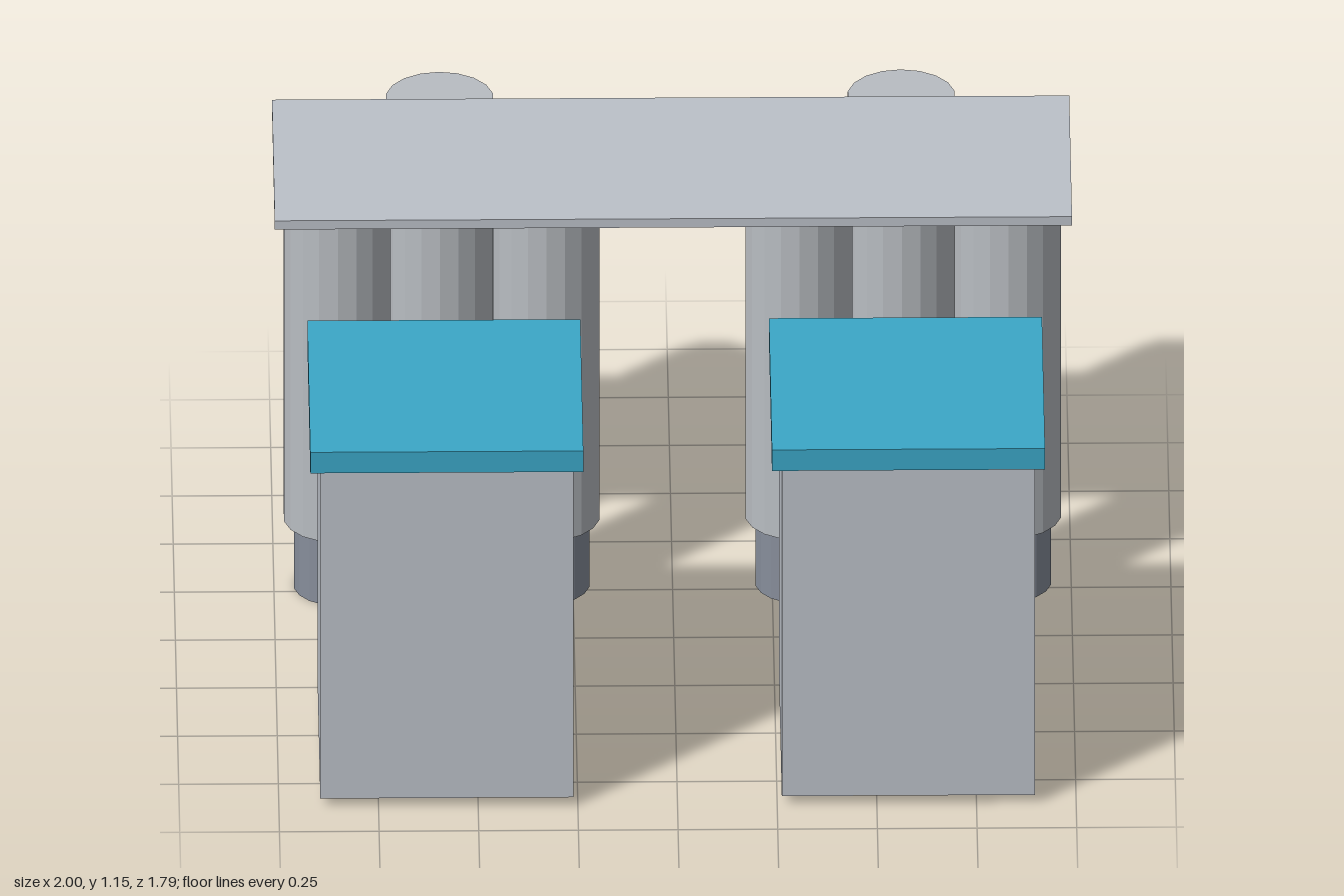
import * as THREE from 'three';

const mat = (name, color, flatShading = false) => {
  const m = new THREE.MeshStandardMaterial({ color, flatShading });
  m.name = name;
  return m;
};

export function createModel() {
  const grey = mat('lightGrey', 0xbcc1c9);
  const metal = mat('legGrey', 0xb9bdc2, true);
  const dark = mat('darkGrey', 0x878e9b, true);
  const teal = mat('teal', 0x3ba8c8);
  const model = new THREE.Group();
  model.name = 'tableAndStools';

  const add = (parent, name, geometry, material, x, y, z) => {
    const mesh = new THREE.Mesh(geometry, material);
    mesh.name = name;
    mesh.position.set(x, y, z);
    parent.add(mesh);
  };

  // Long thin table top
  add(model, 'tableTop', new THREE.BoxGeometry(2, 0.025, 0.63), grey, 0, 1.1425, -0.395);

  const upperGeo = new THREE.CylinderGeometry(0.136, 0.136, 0.935, 18);
  const footGeo = new THREE.CylinderGeometry(0.11, 0.11, 0.195, 18);
  const bodyGeo = new THREE.BoxGeometry(0.635, 0.945, 0.635);
  const padGeo = new THREE.BoxGeometry(0.685, 0.06, 0.685);

  for (const side of [-1, 1]) {
    const cx = side * 0.579;

    // Triangle of three legs, each with a narrower foot
    for (const [dx, z] of [[-0.262, -0.285], [0.262, -0.285], [0, -0.76]]) {
      const leg = new THREE.Group();
      leg.name = 'leg';
      leg.position.set(cx + dx, 0, z);
      add(leg, 'upperLeg', upperGeo, metal, 0, 0.6625, 0);
      add(leg, 'foot', footGeo, dark, 0, 0.0975, 0);
      model.add(leg);
    }

    // Box stool with an overhanging seat pad
    const stool = new THREE.Group();
    stool.name = side > 0 ? 'leftStool' : 'rightStool';
    stool.position.set(cx, 0, 0.556);
    add(stool, 'stoolBody', bodyGeo, grey, 0, 0.4975, 0);
    add(stool, 'seatPad', padGeo, teal, 0, 1.0, 0);
    model.add(stool);
  }
  return model;
}
